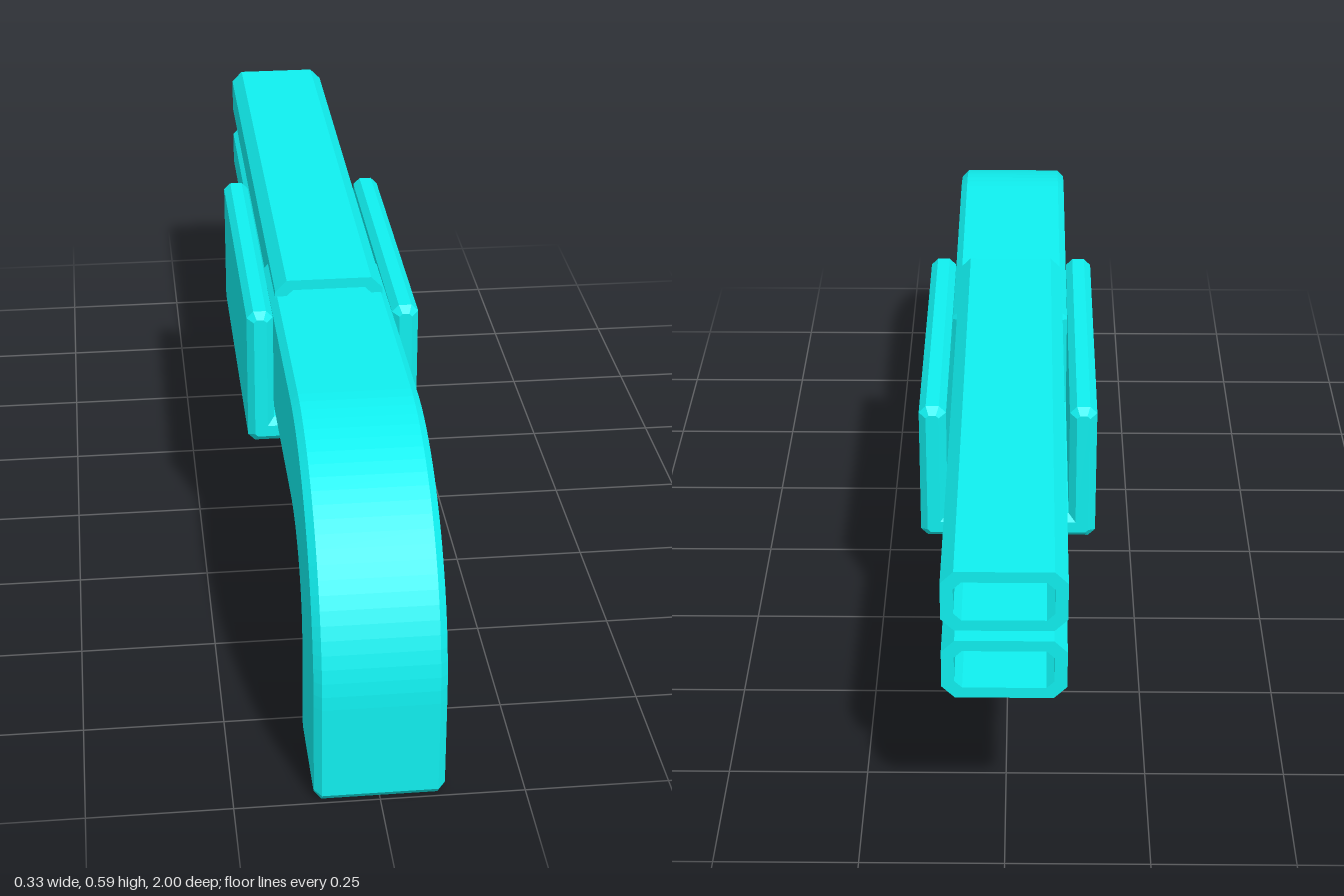
import * as THREE from 'three';

const BEVEL = 0.013;

const polygon = (pts) => new THREE.Shape(pts.map(([x, y]) => new THREE.Vector2(x, y)));

// Rectangle centred on the origin with cut corners
const cutRect = (w, h, c) => [
  [-w + c, -h], [w - c, -h], [w, -h + c], [w, h - c],
  [w - c, h], [-w + c, h], [-w, h - c], [-w, -h + c],
];

// Extrusion centred on its depth, with a chamfer kept inside the outline
function extrude(shape, length, bevel, curveSegments = 12) {
  const geometry = new THREE.ExtrudeGeometry(shape, {
    depth: length - 2 * bevel, curveSegments,
    bevelEnabled: bevel > 0, bevelSegments: 1,
    bevelSize: bevel, bevelThickness: bevel, bevelOffset: -bevel,
  });
  return geometry.translate(0, 0, bevel - length / 2);
}

// Side profile given as (z, y), extruded across x
const acrossX = (shape, width, bevel) => extrude(shape, width, bevel).rotateY(-Math.PI / 2);

export function createModel() {
  const group = new THREE.Group();
  const material = new THREE.MeshStandardMaterial({ color: 0x10f0f0, flatShading: true });
  const add = (name, geometry, y = 0, z = 0) => {
    const mesh = new THREE.Mesh(geometry, material);
    mesh.name = name;
    mesh.position.set(0, y, z);
    group.add(mesh);
  };

  // Curved grip running into the straight body
  const grip = new THREE.Shape();
  grip.moveTo(0.79, 0);
  grip.lineTo(0.988, 0);
  grip.lineTo(1, 0.014);
  grip.lineTo(1, 0.19);
  grip.absellipse(0.59, 0.19, 0.41, 0.38, 0, Math.PI / 2, false, 0);
  grip.lineTo(0, 0.556);
  grip.lineTo(-0.012, 0.544);
  grip.lineTo(-0.012, 0.35);
  grip.lineTo(0, 0.34);
  grip.lineTo(0.59, 0.352);
  grip.absellipse(0.59, 0.19, 0.188, 0.162, Math.PI / 2, 0, true, 0);
  grip.lineTo(0.778, 0.014);
  grip.closePath();
  add('grip', acrossX(grip, 0.225, BEVEL));

  // Bent trigger guard
  const guard = polygon([
    [0.80, 0.187], [0.80, 0.216], [0.475, 0.216], [0.462, 0.224], [0.432, 0.36],
    [0.402, 0.36], [0.443, 0.198], [0.457, 0.187],
  ]);
  add('triggerGuard', acrossX(guard, 0.12, 0.01));

  // Two hollow barrels, one over the other
  for (const [name, y] of [['upperBarrel', 0.536], ['lowerBarrel', 0.404]]) {
    const tube = polygon(cutRect(0.103, 0.056, 0.022));
    tube.holes.push(polygon(cutRect(0.082, 0.036, 0.013).reverse()));
    add(name, extrude(tube, 1.17, 0), y, -0.415);
  }

  // U-shaped fore-end around the barrels
  const c = 0.013;
  const half = [
    [0.163 - c, 0.287], [0.163, 0.287 + c], [0.163, 0.561 - c], [0.163 - c, 0.561],
    [0.113 + c, 0.561], [0.113, 0.561 - c], [0.113, 0.335],
  ];
  const mirrored = half.map(([x, y]) => [-x, y]).reverse();
  add('foreEnd', extrude(polygon([...half, ...mirrored]), 0.657, BEVEL), 0, -0.082);

  return group;
}
